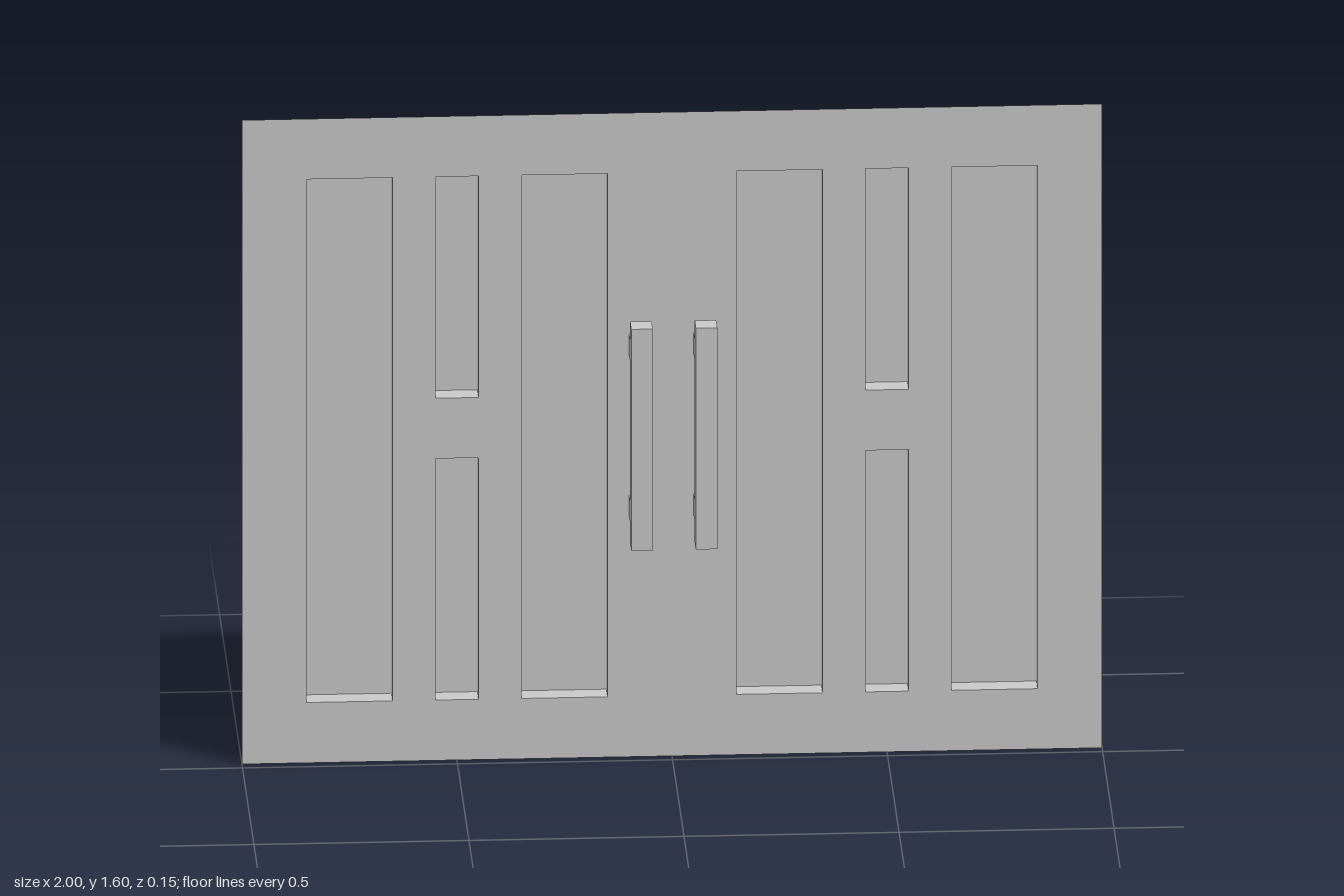
import * as THREE from 'three';

const FRONT = -0.025, BACK = -0.075;
const grey = new THREE.MeshStandardMaterial({ color: 0xcccccc });
const thin = new THREE.MeshStandardMaterial({ color: 0xcccccc, side: THREE.DoubleSide });

// Corners of a rectangle, counter-clockwise seen from the front
const corners = ([x0, x1, y0, y1]) => [[x0, y0], [x1, y0], [x1, y1], [x0, y1]];

function rectPath(rect, Type) {
  return new Type(corners(rect).map(([x, y]) => new THREE.Vector2(x, y)));
}

function addMesh(parent, name, geometry, material) {
  const mesh = new THREE.Mesh(geometry, material);
  mesh.name = name;
  parent.add(mesh);
  return mesh;
}

// Four flat walls round a rectangle between the front sheet and the back,
// facing outward or (for a recess) inward
function wallLoop(rect, inward) {
  const pts = corners(rect);
  if (inward) pts.reverse();
  const pos = [];
  pts.forEach(([ax, ay], i) => {
    const [bx, by] = pts[(i + 1) % 4];
    const a = [ax, ay, BACK], b = [bx, by, BACK], c = [bx, by, FRONT], d = [ax, ay, FRONT];
    pos.push(...a, ...b, ...c, ...a, ...c, ...d);
  });
  const geometry = new THREE.BufferGeometry();
  geometry.setAttribute('position', new THREE.Float32BufferAttribute(pos, 3));
  geometry.computeVertexNormals();
  return geometry;
}

export function createModel() {
  const model = new THREE.Group();
  model.name = 'doublePanelDoors';

  // Recessed panels, mirrored on both doors: x0, x1, y0, y1
  const half = [
    [0.15, 0.35, 0.15, 1.45],
    [0.45, 0.55, 0.15, 0.75],
    [0.45, 0.55, 0.9, 1.45],
    [0.65, 0.85, 0.15, 1.45],
  ];
  const recesses = [...half, ...half.map(([a, b, c, d]) => [-b, -a, c, d])];

  // Thin front sheet with openings
  const sheet = rectPath([-1, 1, 0, 1.6], THREE.Shape);
  sheet.holes = recesses.map((r) => rectPath(r, THREE.Path));
  addMesh(model, 'frontSheet', new THREE.ShapeGeometry(sheet).translate(0, 0, FRONT), thin);

  // Recess walls
  recesses.forEach((r) => addMesh(model, 'recessWalls', wallLoop(r, true), grey));

  // Raised back: outer walls and closing panel
  const backRect = [-0.85, 0.85, 0.15, 1.45];
  addMesh(model, 'backWalls', wallLoop(backRect, false), grey);
  addMesh(model, 'backPanel',
    new THREE.ShapeGeometry(rectPath(backRect, THREE.Shape)).translate(0, 0, BACK), thin);

  // Pull handles: upright bar on two standoffs
  for (const side of [-1, 1]) {
    const handle = new THREE.Group();
    handle.name = side > 0 ? 'leftHandle' : 'rightHandle';
    handle.position.x = side * 0.075;
    addMesh(handle, 'handleBar', new THREE.BoxGeometry(0.05, 0.55, 0.05), grey)
      .position.set(0, 0.825, 0.05);
    for (const y of [0.625, 1.025]) {
      addMesh(handle, 'handleStandoff', new THREE.BoxGeometry(0.05, 0.05, 0.05), grey)
        .position.set(0, y, 0);
    }
    model.add(handle);
  }
  return model;
}
